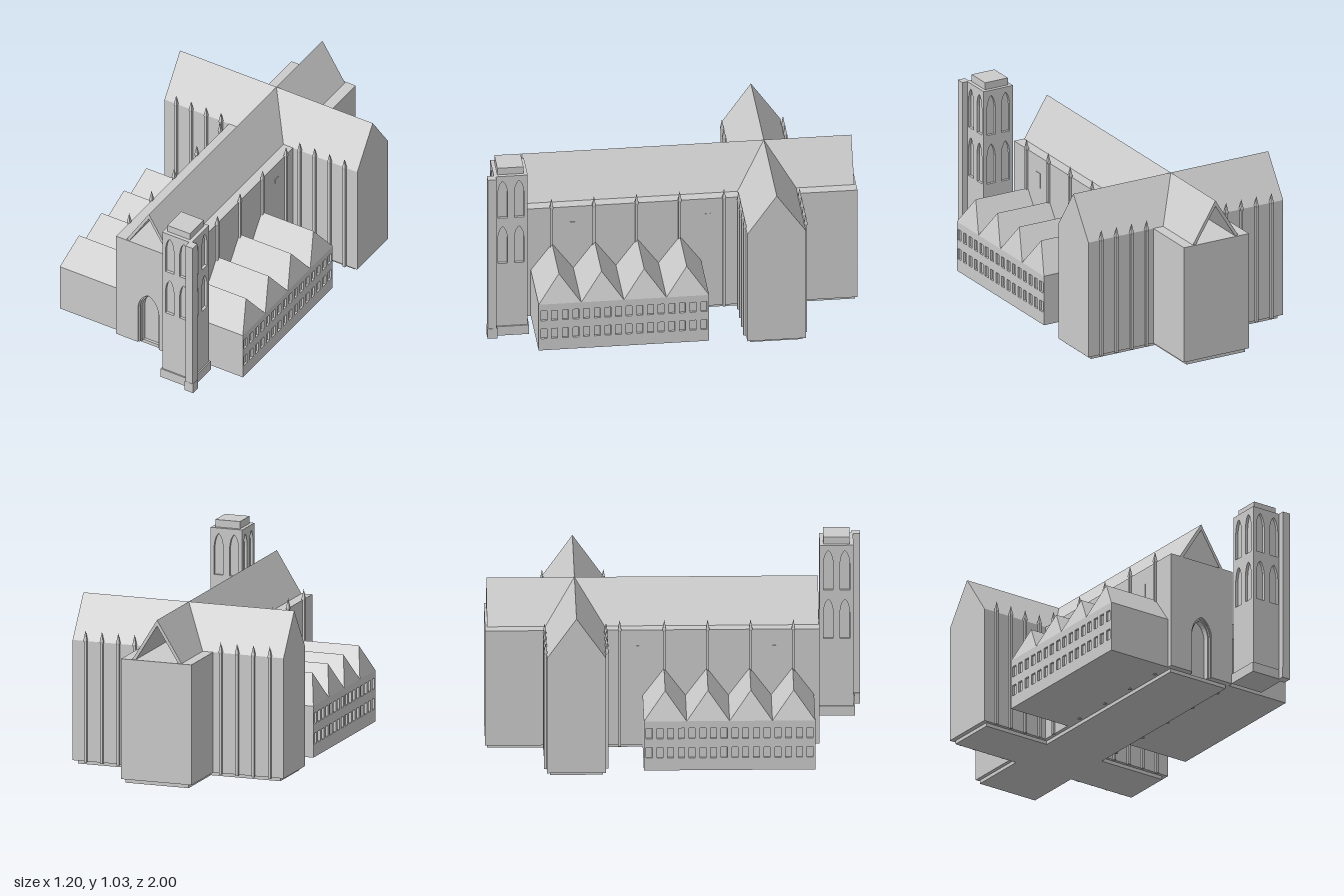
import * as THREE from 'three';

const material = new THREE.MeshStandardMaterial({ color: 0xcccccc, flatShading: true });
const EAVE = 0.675, RIDGE = 0.9, GROUND = 0.02;
const TRANSEPT_Z = -0.523, TRANSEPT_HALF = 0.157;

const V = (x, y) => new THREE.Vector2(x, y);

function add(parent, name, geometry, x = 0, y = 0, z = 0) {
  const mesh = new THREE.Mesh(geometry, material);
  mesh.name = name;
  mesh.position.set(x, y, z);
  parent.add(mesh);
  return mesh;
}

// Box given by its extents
function block(parent, name, [x0, x1], [y0, y1], [z0, z1]) {
  return add(parent, name, new THREE.BoxGeometry(x1 - x0, y1 - y0, z1 - z0),
    (x0 + x1) / 2, (y0 + y1) / 2, (z0 + z1) / 2);
}

function group(parent, name, z = 0, turn = 0) {
  const g = new THREE.Group();
  g.name = name;
  g.position.z = z;
  g.rotation.y = turn;
  parent.add(g);
  return g;
}

const extrude = (shape, depth) =>
  new THREE.ExtrudeGeometry(shape, { depth, bevelEnabled: false });

// Pointed arch outline, from bottom left over the top to bottom right
function archPoints(cx, w, y0, spring, top) {
  const rise = top - spring;
  const left = new THREE.QuadraticBezierCurve(
    V(-w, spring), V(-w * 0.85, spring + rise * 0.75), V(0, top)).getPoints(6);
  const right = left.slice(0, -1).reverse().map(p => V(-p.x, p.y));
  return [V(-w, y0), ...left, ...right, V(w, y0)].map(p => V(p.x + cx, p.y));
}

const rect = (x0, x1, y0, y1) => [V(x0, y0), V(x1, y0), V(x1, y1), V(x0, y1)];

// Flat-faced surface from a few corners and triangles
function faceted(corners, triangles) {
  const g = new THREE.BufferGeometry();
  g.setAttribute('position', new THREE.Float32BufferAttribute(
    triangles.flatMap(i => corners[i]), 3));
  g.computeVertexNormals();
  return g;
}

function buildNave(root) {
  const nave = group(root, 'nave');
  block(nave, 'naveBody', [-0.2, 0.2], [GROUND, EAVE], [-1, 0.725]);
  block(nave, 'navePlinth', [-0.18, 0.18], [0, GROUND], [-0.99, 0.74]);

  // Front wall with a stepped pointed portal
  const portal = w => archPoints(0, w, GROUND, 0.255, 0.29 + w);
  const wall = new THREE.Shape([V(-0.2, GROUND), ...portal(0.065),
    V(0.2, GROUND), V(0.2, EAVE), V(-0.2, EAVE)]);
  add(nave, 'frontWall', extrude(wall, 0.05), 0, 0, 0.725);
  [[0.065, 0.058, 0.042], [0.058, 0.051, 0.032]].forEach(([outer, inner, depth]) => {
    const ring = new THREE.Shape([...portal(outer), ...portal(inner).reverse()]);
    add(nave, 'portalArch', extrude(ring, depth), 0, 0, 0.725);
  });

  // Hollow gable roof, open at both ends
  const roof = new THREE.Shape([V(-0.14, EAVE), V(-0.12, EAVE), V(0, 0.868),
    V(0.12, EAVE), V(0.14, EAVE), V(0, RIDGE)]);
  add(nave, 'naveRoof', extrude(roof, 1.76), 0, 0, -0.99);

  // Side wall windows
  for (const s of [-1, 1]) {
    add(nave, 'naveWindow', new THREE.BoxGeometry(0.006, 0.085, 0.045), s * 0.2, 0.54, 0.52);
    add(nave, 'smallNaveWindow', new THREE.BoxGeometry(0.006, 0.03, 0.03), s * 0.2, 0.57, -0.2);
  }
}

function buildTransept(root) {
  const transept = group(root, 'transept', TRANSEPT_Z);
  const d = TRANSEPT_HALF;
  block(transept, 'transeptBody', [-0.6, 0.6], [GROUND, EAVE], [-d, d]);
  block(transept, 'transeptPlinth', [-0.575, 0.575], [0, GROUND], [-0.14, 0.14]);

  // Each arm's roof meets the nave roof along slanting valleys
  const arm = faceted([
    [0, RIDGE, 0], [0.6, RIDGE, 0],
    [0.14, EAVE, d], [0.6, EAVE, d],
    [0.14, EAVE, -d], [0.6, EAVE, -d],
  ], [0, 2, 3, 0, 3, 1, 0, 1, 5, 0, 5, 4, 1, 3, 5]);
  for (const turn of [0, Math.PI]) add(transept, 'transeptRoof', arm).rotation.y = turn;
}

// Slim square buttress with a pointed top
function buildPinnacles(root) {
  const pinnacles = group(root, 'pinnacles');
  const profile = [[0, 0.016], [0.0105, 0.016], [0.0105, 0.67], [0.0135, 0.68],
    [0.0105, 0.692], [0, 0.735]].map(([r, y]) => V(r, y));
  const geometry = new THREE.LatheGeometry(profile, 4).rotateY(Math.PI / 4);
  for (const s of [-1, 1]) {
    for (const z of [0.635, 0.408, 0.18, -0.05, -0.287])
      add(pinnacles, 'navePinnacle', geometry, s * 0.205, 0, z);
    for (const x of [0.245, 0.338, 0.431, 0.524])
      for (const side of [-1, 1])
        add(pinnacles, 'transeptPinnacle', geometry, s * x, 0,
          TRANSEPT_Z + side * (TRANSEPT_HALF + 0.006));
  }
}

// Row of four hipped chapels on each side of the nave
function buildChapels(root) {
  const half = 0.455, bay = half / 2, t = 0.012;
  const hip = faceted([
    [0.2, 0.455, 0], [0.52, 0.455, 0],
    [0.2, 0.3, bay / 2], [0.57, 0.3, bay / 2],
    [0.2, 0.3, -bay / 2], [0.57, 0.3, -bay / 2],
  ], [0, 2, 3, 0, 3, 1, 0, 1, 5, 0, 5, 4, 1, 3, 5]);

  // Outer wall pierced by two rows of small windows
  const wall = new THREE.Shape(rect(-half, half, GROUND, 0.3));
  const step = 2 * half / 16;
  for (let i = 0; i < 16; i++) {
    const x = -half + (i + 0.5) * step;
    for (const y of [0.09, 0.2])
      wall.holes.push(new THREE.Path(rect(x - 0.016, x + 0.016, y, y + 0.06)));
  }
  const wallGeometry = extrude(wall, t).rotateY(Math.PI / 2);

  for (const turn of [0, Math.PI]) {
    const chapels = group(root, turn ? 'rightChapels' : 'leftChapels', 0.29, turn);
    block(chapels, 'chapelBody', [0.19, 0.57 - t], [GROUND, 0.3], [-half, half]);
    add(chapels, 'chapelWindowWall', wallGeometry, 0.57 - t);
    for (let i = 0; i < 4; i++)
      add(chapels, 'chapelRoof', hip, 0, 0, -half + (i + 0.5) * bay);
  }
}

function buildTower(root) {
  const tower = group(root, 'bellTower', 0.872);
  tower.position.x = 0.292;
  const h = 0.09, t = 0.015, core = h - t;
  block(tower, 'towerCore', [-core, core], [GROUND, 0.99], [-core, core]);
  block(tower, 'towerBase', [-0.097, 0.097], [GROUND, 0.075], [-0.097, 0.097]);
  block(tower, 'towerCap', [-0.07, 0.07], [0.99, 1.03], [-0.07, 0.07]);

  // Four walls with two tiers of paired lancet openings
  for (let i = 0; i < 4; i++) {
    const w = i % 2 ? core : h;
    const wall = new THREE.Shape(rect(-w, w, GROUND, 0.99));
    for (const x of [-0.044, 0.044])
      for (const y of [0.457, 0.735])
        wall.holes.push(new THREE.Path(archPoints(x, 0.026, y, y + 0.15, y + 0.225)));
    const side = group(tower, 'towerSide', 0, i * Math.PI / 2);
    add(side, 'towerWall', extrude(wall, t), 0, 0, core);
  }

  // Corner pier
  block(tower, 'cornerPier', [0.077, 0.122], [GROUND, 0.99], [0.08, 0.127]);
  block(tower, 'cornerPierBase', [0.073, 0.124], [GROUND, 0.08], [0.076, 0.128]);
}

export function createModel() {
  const root = new THREE.Group();
  root.name = 'church';
  buildNave(root);
  buildTransept(root);
  buildPinnacles(root);
  buildChapels(root);
  buildTower(root);
  return root;
}
